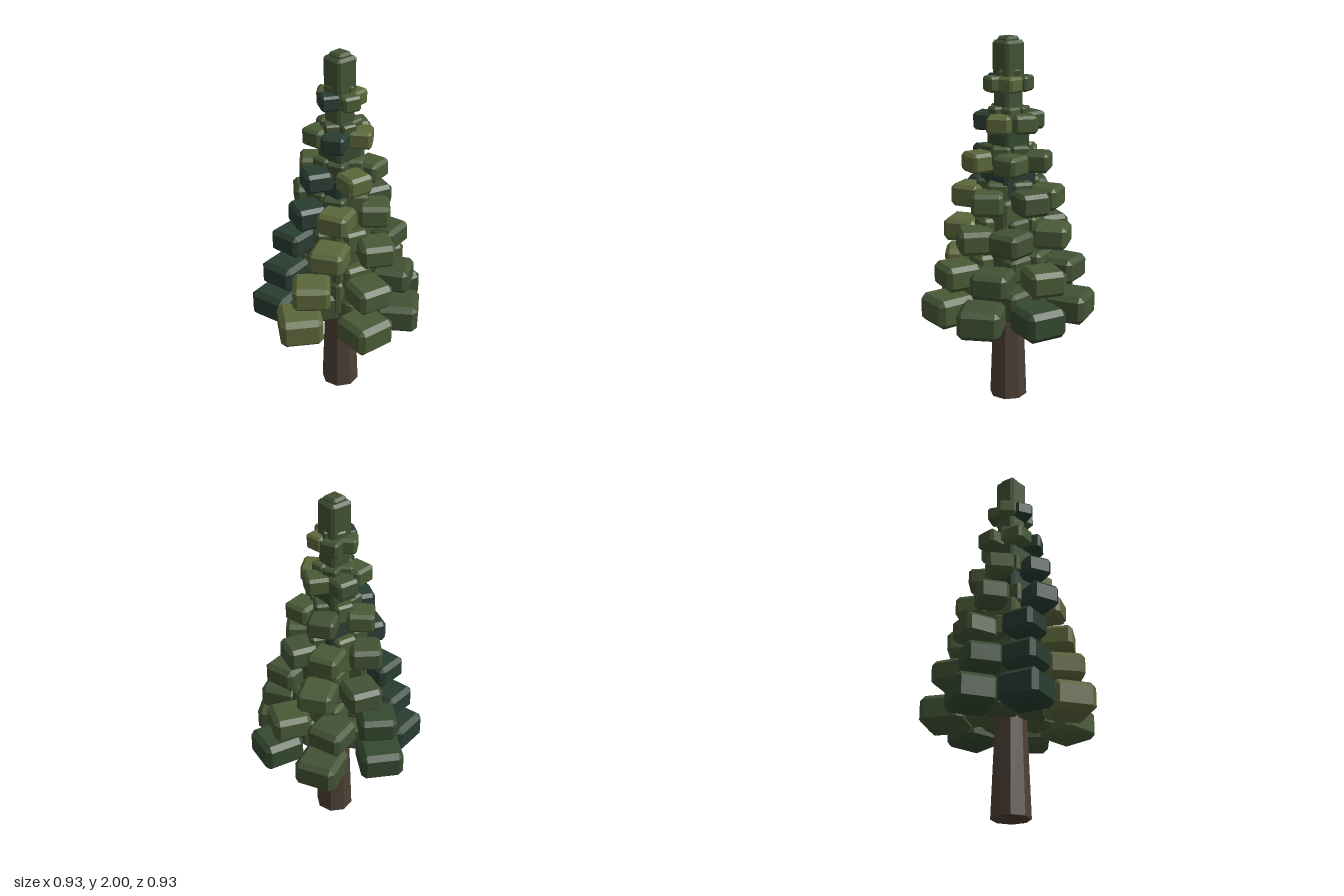
import * as THREE from 'three';
import { ConvexGeometry } from 'three/addons/geometries/ConvexGeometry.js';

const mat = (color) => new THREE.MeshStandardMaterial({ color, flatShading: true });
const PALETTE = {
  teal: mat(0x293d32), olive: mat(0x5c673b), leaf: mat(0x495a36),
  moss: mat(0x425234), pine: mat(0x34492f),
};
const BARK = mat(0x4e4035);

// Box with every edge and corner cut flat by c
function chamferBox(w, h, d, c) {
  const pts = [];
  for (const sx of [-1, 1]) for (const sy of [-1, 1]) for (const sz of [-1, 1]) {
    const x = sx * w / 2, y = sy * h / 2, z = sz * d / 2;
    pts.push(
      new THREE.Vector3(x, y - sy * c, z - sz * c),
      new THREE.Vector3(x - sx * c, y, z - sz * c),
      new THREE.Vector3(x - sx * c, y - sy * c, z));
  }
  return new ConvexGeometry(pts);
}

// Tiers from bottom to top: centre height, outer reach, block width, block height,
// reach of the inner ring, half width of the column above, block directions in degrees.
const TIERS = [
  { y: 0.558, r: 0.465, w: 0.23, h: 0.158, inner: 0.25, col: 0.14, dirs: [205, 159, 98, 53, 2, -51, -108] },
  { y: 0.755, r: 0.405, w: 0.2, h: 0.135, inner: 0.225, col: 0.145, dirs: [203, 151, 91, 44, -9, -60, -112] },
  { y: 0.96, r: 0.35, w: 0.185, h: 0.125, inner: 0.195, col: 0.135, dirs: [201, 133, 72, 25, -42, -95] },
  { y: 1.16, r: 0.297, w: 0.165, h: 0.12, inner: 0.175, col: 0.11, dirs: [173, 125, 60, -4, -52, -113] },
  { y: 1.355, r: 0.242, w: 0.145, h: 0.105, inner: 0.145, col: 0.085, dirs: [168, 95, 24, -42, -120] },
  { y: 1.56, r: 0.185, w: 0.125, h: 0.095, inner: 0.12, col: 0.06, dirs: [132, 52, -14, -82, -160] },
  { y: 1.76, r: 0.132, w: 0.1, h: 0.08, inner: 0.088, col: 0.064, dirs: [165, 20, 88, -55, -125] },
];
const ORDER = ['teal', 'olive', 'leaf', 'moss', 'pine', 'moss', 'pine'];
const COLUMNS = ['leaf', 'moss', 'leaf', 'teal', 'pine', 'moss', 'moss'];

export function createModel() {
  const tree = new THREE.Group();
  tree.name = 'coniferTree';
  const add = (parent, name, geometry, material, x, y, z, yaw = 0) => {
    const mesh = new THREE.Mesh(geometry, material);
    mesh.name = name;
    mesh.position.set(x, y, z);
    mesh.rotation.y = yaw;
    parent.add(mesh);
  };

  // Tapered eight-sided trunk
  add(tree, 'trunk', new THREE.CylinderGeometry(0.08, 0.104, 0.62, 8), BARK, 0, 0.31, 0, 0.1);

  TIERS.forEach((t, i) => {
    const tier = new THREE.Group();
    tier.name = 'foliageTier' + (i + 1);
    tree.add(tier);

    // Outer ring of foliage blocks
    const block = chamferBox(t.w, t.h, t.w, t.w * 0.12);
    t.dirs.forEach((deg, k) => {
      const a = THREE.MathUtils.degToRad(deg);
      // Skewed blocks sit slightly further in
      const d = t.r - t.w / 2 - Math.abs(Math.sin(2 * a)) * 0.01;
      const color = i > 0 && k === 4 ? 'leaf' : ORDER[k];
      add(tier, 'foliageBlock', block, PALETTE[color], Math.cos(a) * d, t.y, Math.sin(a) * d, a);
    });

    // Raised inner ring of smaller blocks, turned to fill the gaps
    const size = t.inner * 0.68;
    const innerBlock = chamferBox(size, t.h, size, size * 0.12);
    for (let k = 0; k < 5; k++) {
      const a = THREE.MathUtils.degToRad(t.dirs[0] + 30 + k * 72);
      const d = t.inner - size / 2 - 0.015;
      const lift = t.y + 0.033;
      add(tier, 'innerBlock', innerBlock, PALETTE[k % 2 ? 'leaf' : 'moss'],
        Math.cos(a) * d, lift, Math.sin(a) * d, a);
    }

    // Column up to the next tier
    const next = i < 6 ? TIERS[i + 1].y : 1.98;
    add(tier, 'innerColumn', chamferBox(t.col * 2, next - t.y, t.col * 2, 0.015),
      PALETTE[COLUMNS[i]], 0, (next + t.y) / 2, 0, 0.2);
  });

  // Small block on the tip
  add(tree, 'treeTip', chamferBox(0.09, 0.1, 0.09, 0.013), PALETTE.moss, 0, 1.95, 0, 0.3);
  return tree;
}
